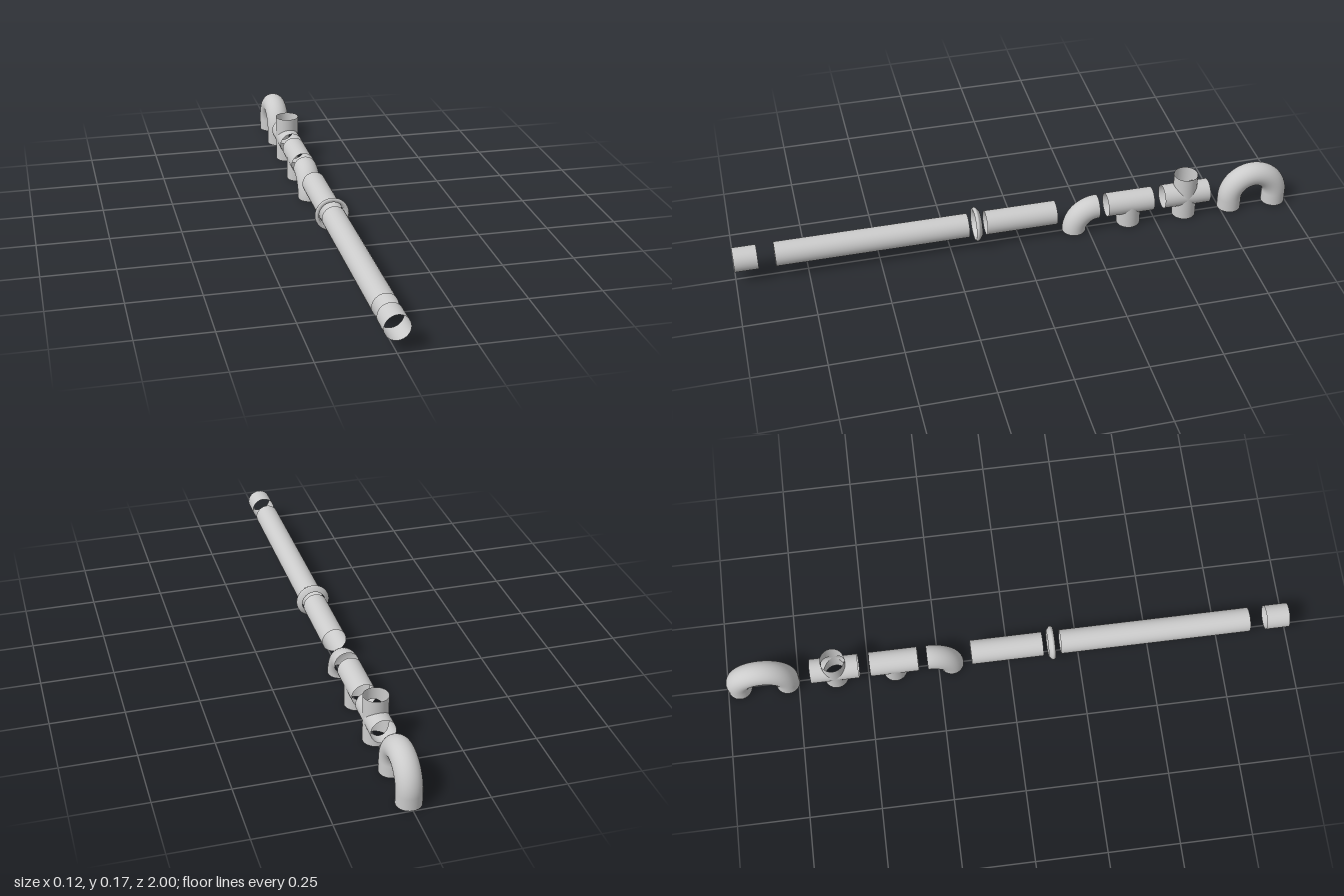
import * as THREE from 'three';

const R = 0.0425;   // pipe radius
const B = 0.085;    // axis height, bend radius and fitting arm length
const SEG = 32;

function add(parent, name, geometry, x = 0, y = 0, z = 0) {
  const mat = new THREE.MeshStandardMaterial({ color: 0xcccccc, side: THREE.DoubleSide });
  const mesh = new THREE.Mesh(geometry, mat);
  mesh.name = name;
  mesh.position.set(x, y, z);
  parent.add(mesh);
}

function addGroup(parent, name, y, z) {
  const group = new THREE.Group();
  group.name = name;
  group.position.set(0, y, z);
  parent.add(group);
  return group;
}

// Open upright tube, centred on the origin
function tube(length) {
  return new THREE.CylinderGeometry(R, R, length, SEG, 1, true);
}

// Arm of a fitting: runs along +z, its inner end mitred by start(y)
function arm(start) {
  const g = tube(B).rotateX(Math.PI / 2);
  const p = g.attributes.position;
  for (let i = 0; i < p.count; i++) {
    p.setZ(i, p.getZ(i) > 0 ? B : start(p.getY(i)));
  }
  return g;
}

// Part of a circular pipe bend in the yz plane
function bend(sweep, steps) {
  return new THREE.TorusGeometry(B, R, SEG, steps, sweep).rotateY(-Math.PI / 2);
}

export function createModel() {
  const model = new THREE.Group();
  model.name = 'pipeSet';

  // Straight pipes along z
  const pipes = [['shortPipe', 0.918, 1], ['longPipe', 0.185, 0.859], ['mediumPipe', -0.132, 0.122]];
  for (const [name, z0, z1] of pipes) {
    add(model, name, tube(z1 - z0).rotateX(Math.PI / 2), 0, B, (z0 + z1) / 2);
  }

  // Wall collar: a thin flared ring
  const profile = [
    [0.042, 0.14], [0.046, 0.14], [0.058, 0.15], [0.06, 0.153], [0.06, 0.157],
    [0.056, 0.163], [0.047, 0.16], [0.042, 0.14],
  ].map(([r, z]) => new THREE.Vector2(r, z));
  add(model, 'collar', new THREE.LatheGeometry(profile, SEG).rotateX(Math.PI / 2), 0, B, 0);

  // Quarter bend, from the floor opening to the rear opening
  add(model, 'elbow', bend(Math.PI / 2, 16), 0, 0, -0.287);

  // Tee: two arms and a downward stem
  const tee = addGroup(model, 'tee', B, -0.404);
  const aboveStem = (y) => Math.max(0, -y);
  add(tee, 'teeFrontArm', arm(aboveStem));
  add(tee, 'teeBackArm', arm(aboveStem).rotateY(Math.PI));
  add(tee, 'teeStem', arm(Math.abs).rotateX(Math.PI / 2));

  // Cross: four mitred arms
  const cross = addGroup(model, 'cross', B, -0.614);
  ['Front', 'Bottom', 'Back', 'Top'].forEach((side, i) => {
    add(cross, 'cross' + side + 'Arm', arm(Math.abs).rotateX(i * Math.PI / 2));
  });

  // Return bend with two straight legs
  const uBend = addGroup(model, 'returnBend', 0, -0.8725);
  const leg = B - R;
  add(uBend, 'returnArch', bend(Math.PI, 32), 0, leg, 0);
  add(uBend, 'returnFrontLeg', tube(leg), 0, leg / 2, B);
  add(uBend, 'returnBackLeg', tube(leg), 0, leg / 2, -B);

  return model;
}
